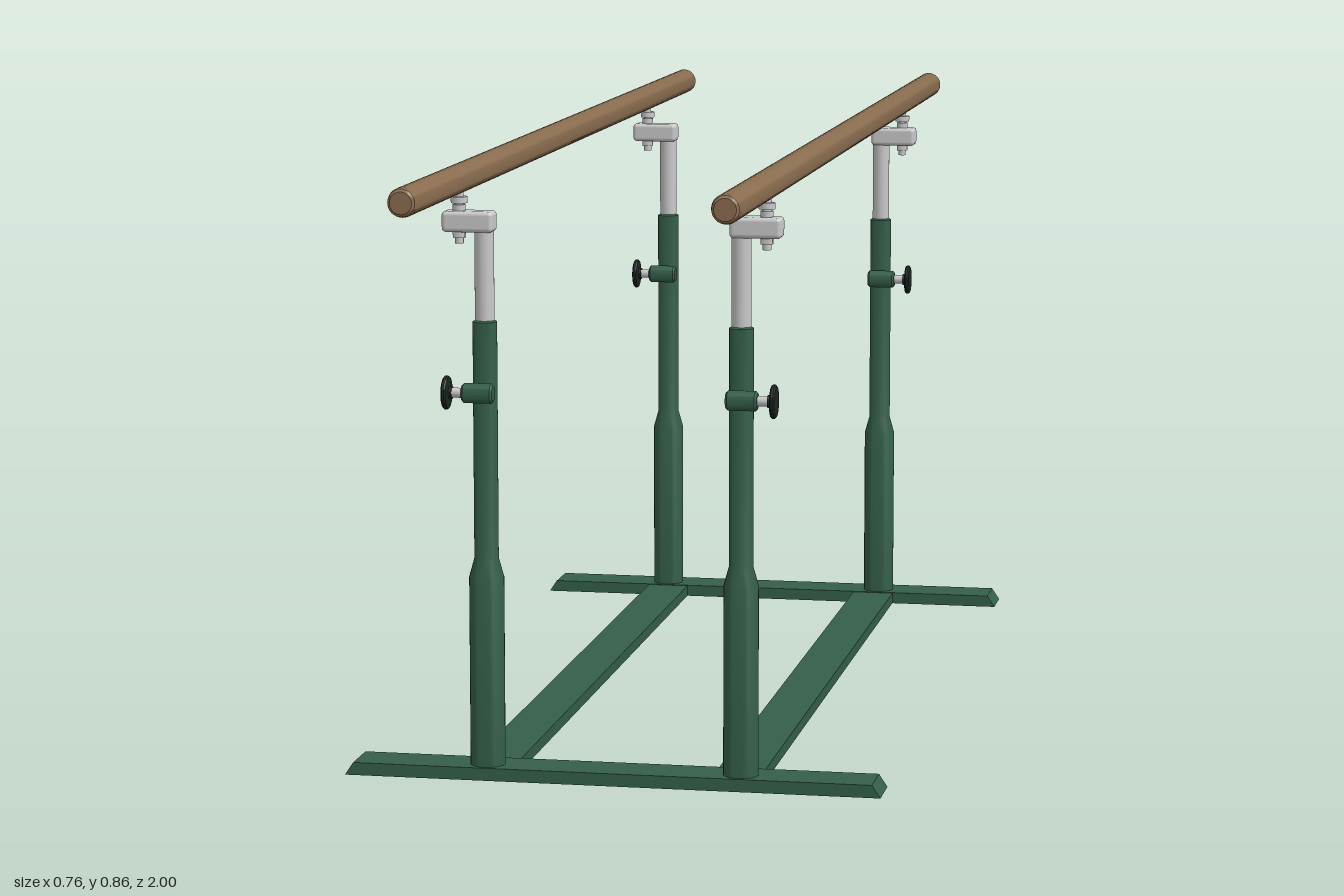
import * as THREE from 'three';
import { RoundedBoxGeometry } from 'three/addons/geometries/RoundedBoxGeometry.js';
import { toCreasedNormals } from 'three/addons/utils/BufferGeometryUtils.js';

const material = (name, color) => {
  const m = new THREE.MeshStandardMaterial({ color });
  m.name = name;
  return m;
};

export function createModel() {
  const green = material('green paint', 0x345f49);
  const wood = material('brown wood', 0x8a6d50);
  const steel = material('light steel', 0xc9c9c9);
  const black = material('black plastic', 0x1c2422);

  const model = new THREE.Group();
  model.name = 'parallelBars';

  const add = (parent, name, geometry, mat, x = 0, y = 0, z = 0) => {
    const mesh = new THREE.Mesh(geometry, mat);
    mesh.name = name;
    mesh.position.set(x, y, z);
    parent.add(mesh);
    return mesh;
  };
  // Solid of revolution around y, with crisp edges
  const turned = (points, sides = 32) => toCreasedNormals(
    new THREE.LatheGeometry(points.map(([r, y]) => new THREE.Vector2(r, y)), sides), 0.6);
  const rod = (r, y0, y1, sides = 20) =>
    new THREE.CylinderGeometry(r, r, y1 - y0, sides).translate(0, (y0 + y1) / 2, 0);

  // Shared geometries
  const crossShape = new THREE.Shape([[-0.38, 0], [0.38, 0], [0.368, 0.018], [-0.368, 0.018]]
    .map(([x, y]) => new THREE.Vector2(x, y)));
  const crossGeometry = new THREE.ExtrudeGeometry(crossShape, { depth: 0.068, bevelEnabled: false })
    .translate(0, 0, -0.034);
  const outerPost = turned([[0, 0.015], [0.0245, 0.015], [0.0245, 0.285], [0.017, 0.312],
    [0.017, 0.644], [0.0135, 0.646], [0, 0.646]]);
  const innerPost = rod(0.0135, 0.62, 0.785, 28);
  const bracket = new RoundedBoxGeometry(0.072, 0.029, 0.034, 3, 0.006);
  const bolt = rod(0.006, 0.752, 0.826);
  const nut = rod(0.0095, 0.76, 0.769, 6);
  const collar = rod(0.009, 0.796, 0.806);
  const saddle = rod(0.0115, 0.808, 0.817);
  const sleeve = turned([[0, 0], [0.011, 0], [0.014, 0.003], [0.014, 0.041], [0.011, 0.044], [0, 0.044]], 24);
  const shaft = rod(0.007, 0.04, 0.064);
  const knob = turned([[0, 0.058], [0.009, 0.058], [0.009, 0.062], [0.022, 0.063], [0.0235, 0.065],
    [0.0235, 0.068], [0.021, 0.07], [0, 0.071]], 28);
  const rail = turned([[0, -1], [0.015, -1], [0.0185, -0.997], [0.02, -0.99],
    [0.02, 0.99], [0.0185, 0.997], [0.015, 1], [0, 1]]).rotateX(Math.PI / 2);

  // Floor frame: two cross feet
  for (const z of [0.672, -0.664]) add(model, 'crossFoot', crossGeometry, green, 0, 0, z);

  for (const side of [1, -1]) {
    add(model, 'floorBeam', new THREE.BoxGeometry(0.066, 0.017, 1.27), green, side * 0.175, 0.0085, 0.004);
    add(model, 'handrail', rail, wood, side * 0.215, 0.842, 0);

    for (const z of [0.677, -0.66]) {
      // Telescopic upright
      const upright = new THREE.Group();
      upright.name = 'upright';
      upright.position.set(side * 0.18, 0, z);
      model.add(upright);
      add(upright, 'outerPost', outerPost, green);
      add(upright, 'innerPost', innerPost, steel);

      // Bracket and bolt carrying the handrail
      add(upright, 'bracket', bracket, steel, side * 0.021, 0.783, 0);
      const x = side * 0.035;
      add(upright, 'railBolt', bolt, steel, x);
      add(upright, 'boltNut', nut, steel, x);
      add(upright, 'boltCollar', collar, steel, x);
      add(upright, 'railSaddle', saddle, steel, x);

      // Height clamp, pointing outward beside the post
      const clamp = new THREE.Group();
      clamp.name = 'heightClamp';
      clamp.position.set(side * -0.017, 0.547, 0.024);
      clamp.rotation.z = -side * Math.PI / 2;
      upright.add(clamp);
      add(clamp, 'clampSleeve', sleeve, green);
      add(clamp, 'clampShaft', shaft, steel);
      add(clamp, 'clampKnob', knob, black);
    }
  }
  return model;
}
